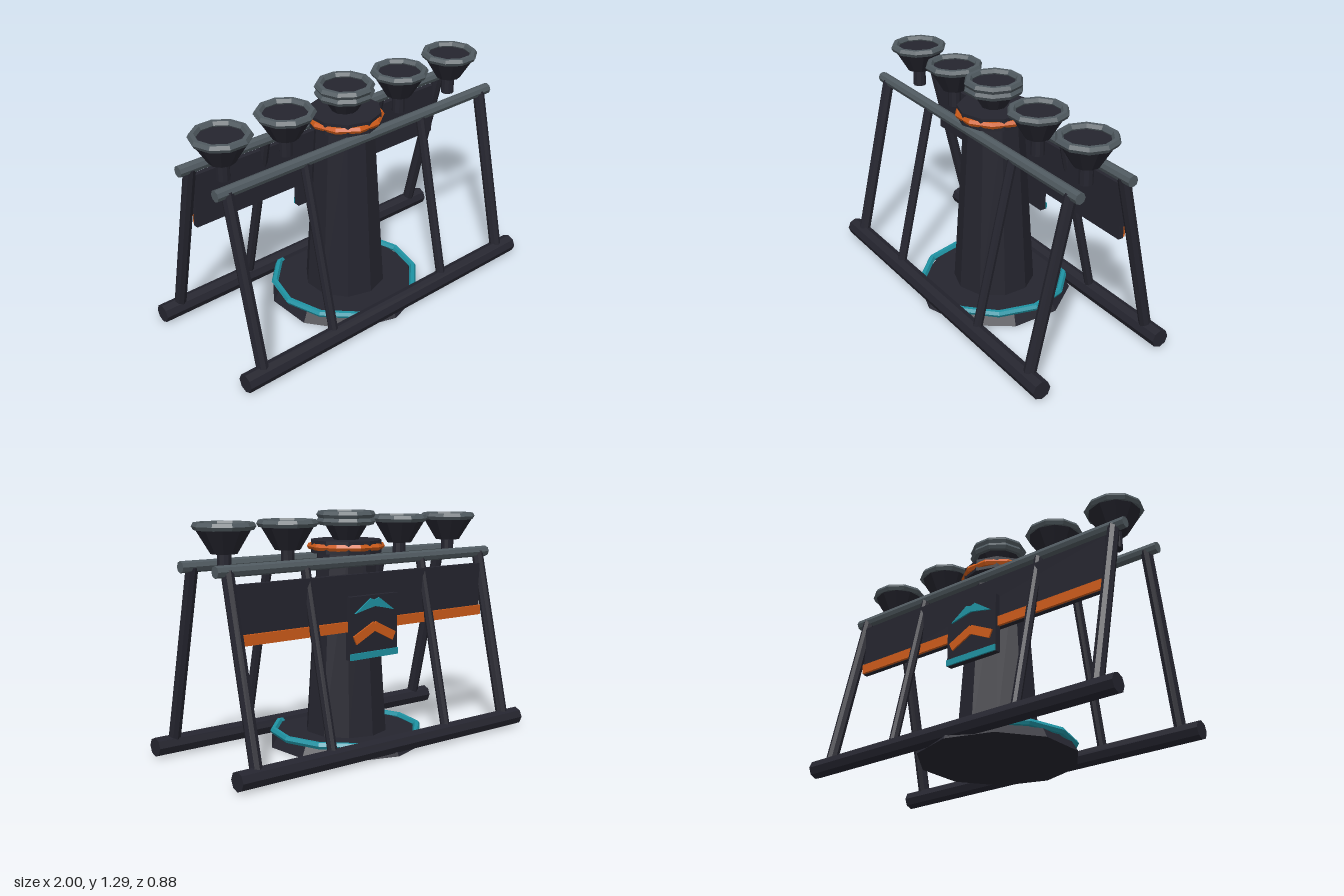
import * as THREE from 'three';

const paint = (name, color) => {
  const m = new THREE.MeshStandardMaterial({ color, flatShading: true });
  m.name = name;
  return m;
};

export function createModel() {
  const model = new THREE.Group();
  const dark = paint('darkMetal', 0x25252f);
  const grey = paint('greyMetal', 0x505a60);
  const orange = paint('orangeTrim', 0xcf5c1a);
  const teal = paint('tealTrim', 0x1f93a3);

  const add = (name, geometry, material, x = 0, y = 0, z = 0, parent = model) => {
    const mesh = new THREE.Mesh(geometry, material);
    mesh.name = name;
    mesh.position.set(x, y, z);
    parent.add(mesh);
    return mesh;
  };
  const drum = (rTop, rBottom, h, sides = 10) => new THREE.CylinderGeometry(rTop, rBottom, h, sides);
  const ring = (r, tube, sides) => new THREE.TorusGeometry(r, tube, 6, sides).rotateX(Math.PI / 2);

  // Straight round bar between two points
  const bar = (name, from, to, r, material) => {
    const a = new THREE.Vector3(...from), b = new THREE.Vector3(...to);
    const dir = b.clone().sub(a);
    const mesh = add(name, drum(r, r, dir.length(), 8), material);
    mesh.position.copy(a).add(b).multiplyScalar(0.5);
    mesh.quaternion.setFromUnitVectors(new THREE.Vector3(0, 1, 0), dir.normalize());
  };

  // Base, tower and collar
  add('base', drum(0.4, 0.44, 0.07), dark, 0, 0.035);
  add('baseRing', ring(0.41, 0.02, 12), teal, 0, 0.073);
  add('tower', drum(0.163, 0.23, 1.02), dark, 0, 0.57);
  add('collar', drum(0.2, 0.2, 0.07), dark, 0, 1.1);
  add('collarRing', ring(0.195, 0.02, 10), orange, 0, 1.1);

  // Frame: rails on both sides and leaning legs
  for (const s of [1, -1]) {
    bar('groundRail', [-1, 0.054, s * 0.388], [1, 0.054, s * 0.388], 0.052, dark);
    bar('topRail', [-0.955, 1.03, s * 0.16], [0.955, 1.03, s * 0.16], 0.031, grey);
    for (const [x, r] of [[0.885, 0.033], [0.41, 0.026]]) {
      for (const side of [1, -1]) {
        bar('leg', [side * x, 0.055, s * 0.388], [side * x, 1.03, s * 0.16], r, dark);
      }
    }
  }

  // Row of funnel bowls; the middle one sits higher and has a second rim
  for (const x of [-0.795, -0.4, 0, 0.4, 0.795]) {
    const bowl = new THREE.Group();
    bowl.name = 'bowl';
    bowl.position.set(x, 0, 0);
    model.add(bowl);
    const lift = x === 0 ? 0.034 : 0;
    add('bowlStem', drum(0.037, 0.037, 0.11), dark, 0, 1.055 + lift, 0, bowl);
    add('bowlCup', drum(0.15, 0.07, 0.13), dark, 0, 1.165 + lift, 0, bowl);
    add('bowlRim', ring(0.141, 0.022, 10), grey, 0, 1.238 + lift, 0, bowl);
    if (x === 0) add('lowerRim', ring(0.141, 0.022, 10), grey, 0, 1.235, 0, bowl);
  }

  // Rear panel with stripe
  add('rearPanel', new THREE.BoxGeometry(1.72, 0.305, 0.03), dark, 0, 0.8125, -0.19);
  add('panelStripe', new THREE.BoxGeometry(1.71, 0.055, 0.016), orange, 0, 0.69, -0.212);

  // Badge plate with a bottom bar and two chevrons
  add('badgePlate', new THREE.BoxGeometry(0.34, 0.34, 0.035), dark, 0, 0.68, -0.218);
  add('badgeBar', new THREE.BoxGeometry(0.34, 0.035, 0.009), teal, 0, 0.528, -0.24);
  for (const s of [1, -1]) {
    const arm = add('chevronArm', new THREE.BoxGeometry(0.16, 0.05, 0.009), orange, s * 0.068, 0.65, -0.24);
    arm.rotation.z = -s * 0.45;
  }
  const wings = new THREE.Shape([[-0.14, -0.03], [-0.03, 0.045], [0, 0.035], [0.03, 0.045],
    [0.14, -0.03], [0.06, -0.012], [0, 0], [-0.06, -0.012]].map(p => new THREE.Vector2(...p)));
  add('upperChevron', new THREE.ExtrudeGeometry(wings, { depth: 0.009, bevelEnabled: false }),
    teal, 0, 0.79, -0.2445);

  return model;
}
